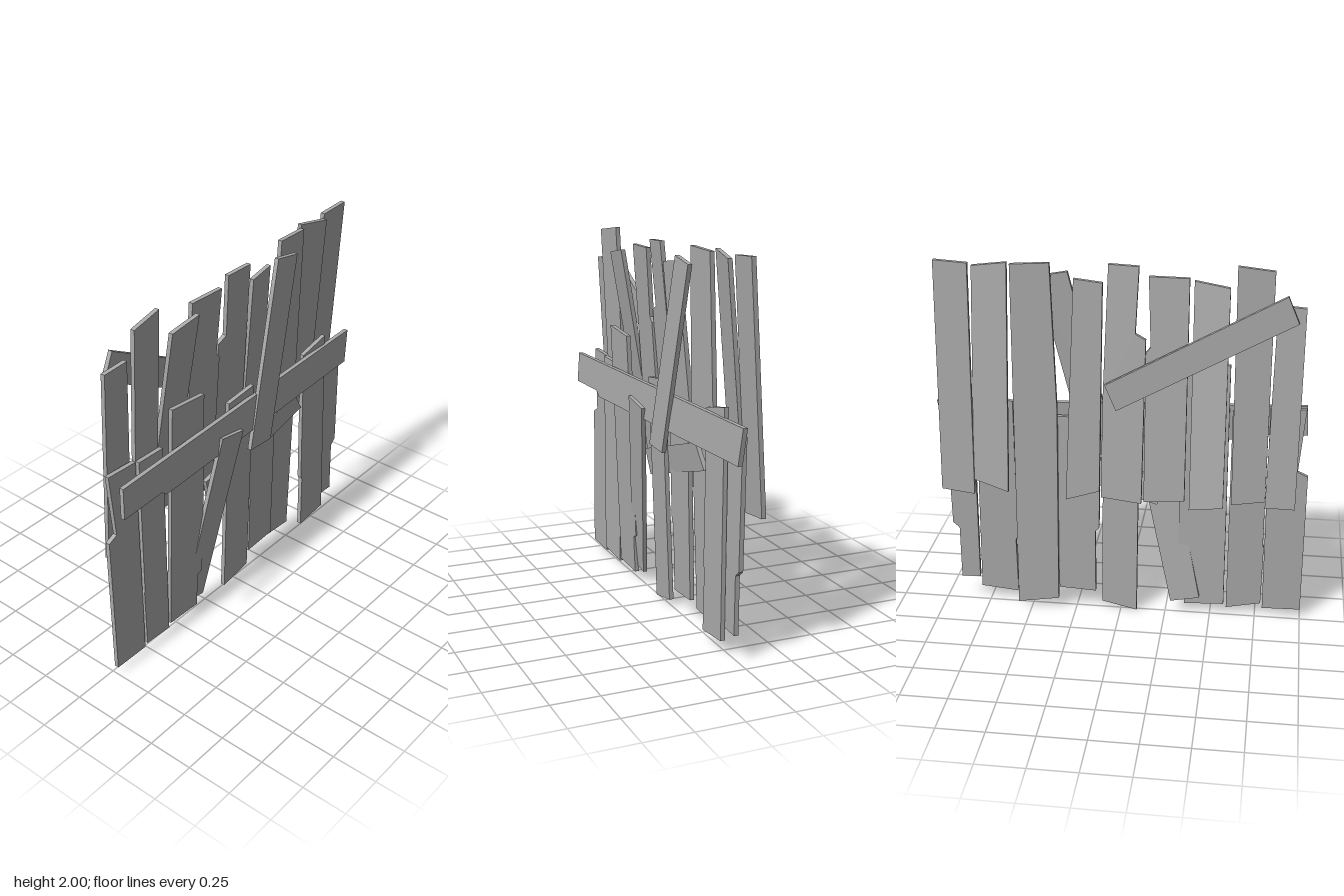
import * as THREE from 'three';

const THICK = 0.024;
const wood = new THREE.MeshStandardMaterial({ color: 0xaaaaaa });
wood.name = 'grey wood';

// A flat board cut to an outline, leaning from zBottom to zTop and skewed along x by tilt.
function plank(group, name, outline, zBottom, zTop, tilt = 0) {
  const shape = new THREE.Shape(outline.map(([x, y]) => new THREE.Vector2(x, y)));
  const geo = new THREE.ExtrudeGeometry(shape, { depth: THICK, bevelEnabled: false });
  geo.translate(0, 0, -THICK / 2);
  geo.computeBoundingBox();
  const { min, max } = geo.boundingBox;
  const midX = (min.x + max.x) / 2;
  const pos = geo.attributes.position;
  for (let i = 0; i < pos.count; i++) {
    const t = (pos.getY(i) - min.y) / (max.y - min.y);
    const lean = THREE.MathUtils.lerp(zBottom, zTop, t);
    pos.setZ(i, pos.getZ(i) + lean + tilt * (pos.getX(i) - midX));
  }
  geo.computeVertexNormals();
  const mesh = new THREE.Mesh(geo, wood);
  mesh.name = name;
  group.add(mesh);
}

export function createModel() {
  const model = new THREE.Group();
  model.name = 'boardedWall';

  // Lower row of upright boards: outline, zBottom, zTop, tilt
  const lower = [
    [[[-1, 0.05], [-0.79, 0.045], [-0.785, 1.24], [-0.975, 1.25], [-0.945, 0.89], [-1, 0.865]], 0.03, 0.02, 0],
    [[[-0.78, 0.07], [-0.59, 0.04], [-0.59, 1.22], [-0.78, 1.24], [-0.78, 0.43], [-0.785, 0.42]], 0.03, 0.03, -0.08],
    [[[-0.575, 0.06], [-0.355, 0.05], [-0.355, 0.26], [-0.32, 0.28], [-0.315, 0.45], [-0.33, 1.43], [-0.57, 1.455]], 0.02, 0.075, 0],
    [[[-0.09, 0], [0.105, 0.04], [0.1, 1.27], [-0.095, 1.245]], 0.0, 0.045, 0.03],
    [[[0.14, 0.11], [0.345, 0.12], [0.345, 1.15], [0.11, 1.15], [0.12, 0.5], [0.14, 0.48]], -0.01, 0.01, 0],
    [[[0.59, 0.055], [0.8, 0.075], [0.785, 1.26], [0.585, 1.22], [0.585, 0.4], [0.595, 0.38]], 0.03, 0.015, 0],
    [[[0.805, 0.145], [0.91, 0.14], [0.91, 0.45], [0.945, 0.48], [0.955, 1.15], [0.8, 1.15]], 0.01, 0.0, 0],
  ];
  lower.forEach(([pts, a, b, s], i) => plank(model, `lowerBoard${i + 1}`, pts, a, b, s));

  // Upper row of upright boards, feet set back behind the lower row
  const upper = [
    [[[-0.94, 0.7], [-0.78, 0.7], [-0.8, 1.81], [-0.945, 1.8]], -0.045, 0.01, 0.03],
    [[[-0.78, 0.72], [-0.6, 0.7], [-0.59, 2], [-0.78, 1.975]], -0.02, 0.04, -0.1],
    [[[-0.56, 0.72], [-0.38, 0.7], [-0.37, 1.9], [-0.555, 1.87]], -0.12, 0.085, 0.02],
    [[[-0.35, 0.72], [-0.13, 0.7], [-0.13, 1.53], [-0.155, 1.56], [-0.14, 1.93], [-0.35, 1.93]], -0.055, 0.03, 0.04],
    [[[-0.12, 0.7], [0.1, 0.72], [0.095, 1.25], [0.07, 1.985], [-0.09, 1.98], [-0.075, 1.63], [-0.13, 1.6]], -0.07, 0.04, 0.05],
    [[[0.11, 0.75], [0.29, 0.7], [0.25, 1.905], [0.1, 1.885]], -0.065, 0.035, -0.08],
    [[[0.345, 0.07], [0.57, 0.04], [0.575, 1.98], [0.37, 1.99], [0.34, 1.2]], -0.055, 0.005, -0.05],
    [[[0.595, 0.75], [0.79, 0.8], [0.775, 1.965], [0.585, 1.995]], -0.11, -0.01, 0.15],
    [[[0.785, 0.72], [0.965, 0.74], [0.97, 1.995], [0.79, 1.985]], -0.105, -0.025, 0.02],
  ];
  upper.forEach(([pts, a, b, s], i) => plank(model, `upperBoard${i + 1}`, pts, a, b, s));

  // Long rail across the front
  plank(model, 'frontRail',
    [[-0.99, 1.06], [-0.705, 1.055], [-0.67, 1.025], [0.97, 1.015], [1, 1.205], [-0.98, 1.23]], 0.08, 0.07, -0.051);

  // Slanting patches on the front
  plank(model, 'upperSlantBoard', [[0.03, 0.91], [0.2, 0.9], [0.445, 1.905], [0.285, 1.935]], 0.09, 0.055);
  plank(model, 'lowerSlantBoard', [[-0.44, 0.1], [-0.28, 0.07], [-0.05, 1.085], [-0.225, 1.12]], 0.0, 0.105);

  // Patches between and behind the rows
  plank(model, 'middlePatch', [[-0.2, 0.67], [0.57, 0.89], [0.49, 1.02], [-0.24, 0.81]], -0.01, 0.03, 0.01);
  plank(model, 'backBrace', [[-0.91, 1.73], [0.02, 1.22], [0.08, 1.36], [-0.85, 1.87]], -0.045, -0.035, -0.01);

  return model;
}
